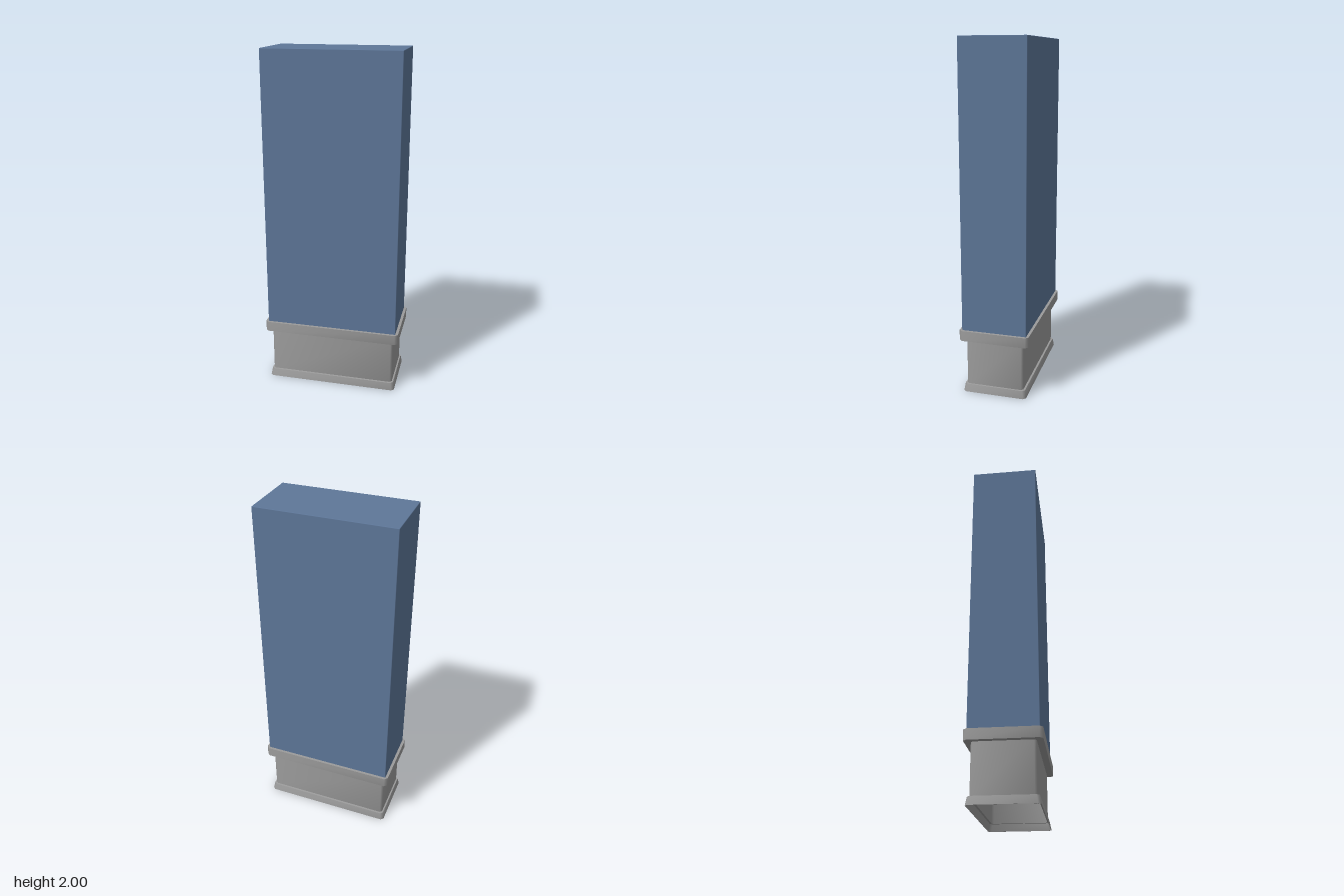
import * as THREE from 'three';
import { toCreasedNormals } from 'three/addons/utils/BufferGeometryUtils.js';
import { RoundedBoxGeometry } from 'three/addons/geometries/RoundedBoxGeometry.js';

const grey = new THREE.MeshStandardMaterial({ color: 0x9b9b9b });
const blue = new THREE.MeshStandardMaterial({ color: 0x5e7799 });

// Rectangle with cut corners: half width, half depth, corner cut
function cutRect(hx, hz, c) {
  return [
    [hx, -hz + c], [hx, hz - c], [hx - c, hz], [-hx + c, hz],
    [-hx, hz - c], [-hx, -hz + c], [-hx + c, -hz], [hx - c, -hz],
  ];
}

// Closed frame through sections [hx, hz, y, cut]: up the outside, down the inside
function frame(name, sections) {
  const rings = sections.map(([hx, hz, y, c]) =>
    cutRect(hx, hz, c).map(([x, z]) => [x, y, z]));
  const pos = [];
  rings.forEach((ring, i) => {
    const next = rings[(i + 1) % rings.length];
    for (let j = 0; j < 8; j++) {
      const k = (j + 1) % 8;
      pos.push(...ring[j], ...next[j], ...ring[k], ...ring[k], ...next[j], ...next[k]);
    }
  });
  const geo = new THREE.BufferGeometry();
  geo.setAttribute('position', new THREE.Float32BufferAttribute(pos, 3));
  const mesh = new THREE.Mesh(toCreasedNormals(geo, 0.9), grey);
  mesh.name = name;
  return mesh;
}

export function createModel() {
  const model = new THREE.Group();
  model.name = 'cappedBlock';

  // Tall solid block with finely softened edges; its underside closes the hollow base
  const block = new THREE.Mesh(new RoundedBoxGeometry(0.78, 1.65, 0.375, 1, 0.003), blue);
  block.position.y = 2 - 1.65 / 2;
  block.name = 'block';
  model.add(block);

  // Collar around the foot of the block
  model.add(frame('collar', [
    [0.406, 0.203, 0.32, 0.018],
    [0.406, 0.203, 0.38, 0.018],
    [0.36, 0.155, 0.38, 0.01],
    [0.36, 0.155, 0.32, 0.01],
  ]));

  // Thin hollow neck with a flared lip, open below and stepped inside the lip
  model.add(frame('neck', [
    [0.39, 0.186, 0, 0.015],
    [0.382, 0.178, 0.045, 0.015],
    [0.373, 0.167, 0.046, 0.012],
    [0.373, 0.167, 0.33, 0.012],
    [0.37, 0.164, 0.33, 0.012],
    [0.37, 0.164, 0.043, 0.012],
    [0.379, 0.175, 0.042, 0.015],
    [0.388, 0.184, 0, 0.015],
  ]));

  return model;
}
